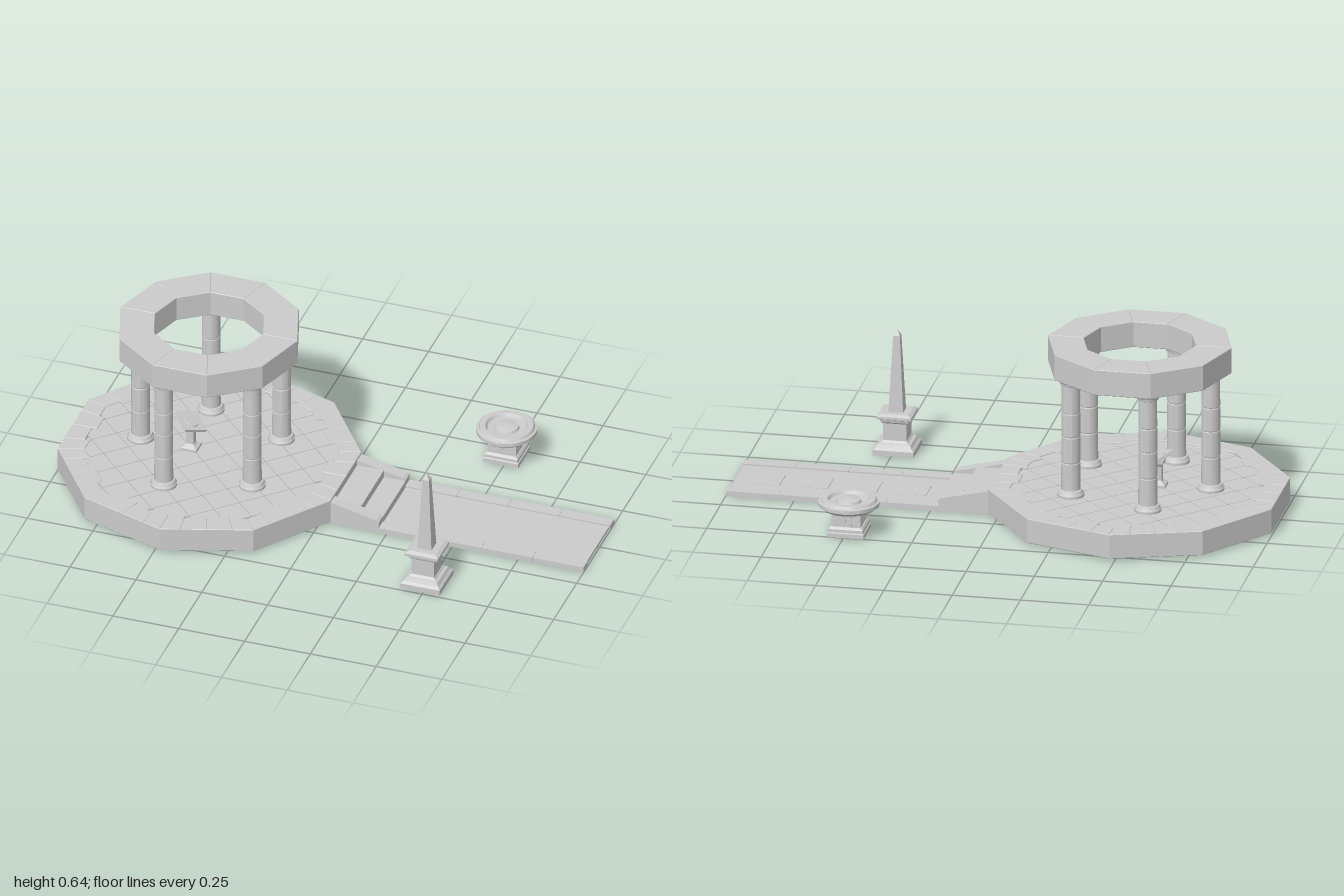
import * as THREE from 'three';
import { toCreasedNormals } from 'three/addons/utils/BufferGeometryUtils.js';

const stone = new THREE.MeshStandardMaterial({ color: 0xcccccc });
const flatStone = new THREE.MeshStandardMaterial({ color: 0xcccccc, flatShading: true });
const CX = -0.48, CZ = 0.006; // centre of the round terrace

function add(parent, name, geometry, material = flatStone) {
  const mesh = new THREE.Mesh(geometry, material);
  mesh.name = name;
  parent.add(mesh);
  return mesh;
}

function group(parent, name, x = 0, y = 0, z = 0) {
  const g = new THREE.Group();
  g.name = name;
  g.position.set(x, y, z);
  parent.add(g);
  return g;
}

// Upright slab from a plan outline of [x, z] points, with optional holes and a small bevel
function slab(points, y0, y1, bevel = 0, holes = []) {
  const outline = (pts) => pts.map(([x, z]) => new THREE.Vector2(x, -z));
  const shape = new THREE.Shape(outline(points));
  holes.forEach((h) => shape.holes.push(new THREE.Path(outline(h))));
  return new THREE.ExtrudeGeometry(shape, {
    depth: y1 - y0 - 2 * bevel, bevelEnabled: bevel > 0, bevelSize: bevel,
    bevelOffset: -bevel, bevelThickness: bevel, bevelSegments: 1,
  }).rotateX(-Math.PI / 2).translate(0, y0 + bevel, 0);
}

function box(x0, x1, y0, y1, z0, z1) {
  return new THREE.BoxGeometry(x1 - x0, y1 - y0, z1 - z0)
    .translate((x0 + x1) / 2, (y0 + y1) / 2, (z0 + z1) / 2);
}

const rect = (x0, x1, z0, z1) => [[x0, z0], [x1, z0], [x1, z1], [x0, z1]];
const toVectors = (pts, k = 1) => pts.map(([r, y]) => new THREE.Vector2(r * k, y));

// Round turned stone, and its square counterpart given half widths
const turned = (pts, sides) => toCreasedNormals(new THREE.LatheGeometry(toVectors(pts), sides), 0.6);
const squareTurned = (pts) =>
  new THREE.LatheGeometry(toVectors(pts, Math.SQRT2), 4, Math.PI / 4).toNonIndexed();

const corner = (i, r, turn) => {
  const a = (i / 10) * Math.PI * 2 + turn;
  return [Math.cos(a) * r, Math.sin(a) * r];
};
const mix = (a, b, t) => [a[0] + (b[0] - a[0]) * t, a[1] + (b[1] - a[1]) * t];

function buildTerrace(root) {
  const g = group(root, 'terrace', CX, 0, CZ);
  const turn = Math.PI / 10;
  const splits = [0, 0.22, 0.5, 0.78, 1];

  // Rim blocks of alternating depth along each of the ten sides
  for (let i = 0; i < 10; i++) {
    const a = corner(i, 0.545, turn), b = corner(i + 1, 0.545, turn);
    for (let k = 0; k < 4; k++) {
      const inner = (i + k) % 2 ? 0.468 : 0.448;
      const c = corner(i, inner, turn), d = corner(i + 1, inner, turn);
      const [s, t] = [splits[k], splits[k + 1]];
      add(g, 'rimBlock', slab([mix(a, b, s), mix(a, b, t), mix(c, d, t), mix(c, d, s)], 0.008, 0.1, 0.002));
    }
  }

  // Floor bed with diagonal paving
  const bed = Array.from({ length: 10 }, (_, i) => corner(i, 0.5, turn));
  add(g, 'floorBed', slab(bed, 0.084, 0.09));
  const step = 0.1;
  for (let i = -5; i <= 5; i++) {
    for (let j = -5; j <= 5; j++) {
      if (Math.hypot(i, j) * step > 0.45) continue;
      const tile = add(g, 'pavingTile', new THREE.BoxGeometry(step - 0.003, 0.015, step - 0.003));
      tile.position.set((i + j) * step * Math.SQRT1_2, 0.0885, (i - j) * step * Math.SQRT1_2);
      tile.rotation.y = Math.PI / 4;
    }
  }
}

function buildColonnade(root) {
  // Column profile: round foot, four drums with worn joints, round capital
  const profile = [[0, 0.095], [0.049, 0.095], [0.049, 0.105], [0.044, 0.112], [0.041, 0.12], [0.035, 0.122]];
  for (const y of [0.225, 0.325, 0.415]) {
    profile.push([0.034, y - 0.004], [0.0315, y], [0.034, y + 0.004]);
  }
  profile.push([0.033, 0.52], [0.039, 0.523], [0.041, 0.532], [0.048, 0.537], [0.048, 0.547], [0, 0.547]);
  const geometry = turned(profile, 18);
  const places = [[-0.742, 0], [-0.564, 0.258], [-0.564, -0.258], [-0.262, 0.16], [-0.262, -0.16]];
  for (const [x, z] of places) add(root, 'column', geometry, stone).position.set(x, 0, CZ + z);

  // Ten-sided ring of lintel blocks
  const ring = group(root, 'lintelRing', CX - 0.002, 0, CZ);
  for (let i = 0; i < 10; i++) {
    const plan = [corner(i, 0.336, 0), corner(i + 1, 0.336, 0), corner(i + 1, 0.205, 0), corner(i, 0.205, 0)];
    add(ring, 'lintelBlock', slab(plan, 0.545, 0.642, 0.002));
  }
}

function buildStand(root) {
  const g = group(root, 'readingStand', -0.55, 0, CZ);
  add(g, 'standPost', squareTurned([[0, 0.095], [0.03, 0.095], [0.03, 0.106], [0.018, 0.114],
    [0.014, 0.12], [0.014, 0.172], [0.022, 0.185], [0.022, 0.198], [0, 0.198]]));
  // Tilted diamond tablet with raised border and a round disc
  const top = group(g, 'tablet', 0, 0.206, 0);
  top.rotation.z = -0.43;
  const diamond = (r) => [[r, 0], [0, r], [-r, 0], [0, -r]];
  add(top, 'tabletPlate', slab(diamond(0.064), -0.006, 0.002));
  add(top, 'tabletBorder', slab(diamond(0.065), 0.001, 0.006, 0, [diamond(0.052)]));
  add(top, 'tabletDisc', new THREE.CylinderGeometry(0.026, 0.028, 0.005, 16)).position.y = 0.004;
}

function buildSteps(root) {
  const g = group(root, 'steps', 0, 0, CZ);
  // Sloping cheek walls on both sides
  const cheek = new THREE.Shape([[0.035, 0.006], [0.22, 0.002], [0.222, 0.045], [0.212, 0.052], [0.035, 0.092]]
    .map(([x, y]) => new THREE.Vector2(x, y)));
  for (const z of [-0.168, 0.122]) {
    add(g, 'cheekWall', new THREE.ExtrudeGeometry(cheek, { depth: 0.046, bevelEnabled: false })).position.z = z;
  }
  add(g, 'upperStep', box(0.035, 0.14, 0.006, 0.072, -0.122, 0.122));
  add(g, 'lowerStep', box(0.14, 0.222, 0.004, 0.043, -0.122, 0.122));
}

function buildPath(root) {
  const g = group(root, 'path', 0, 0, CZ);
  add(g, 'pathBed', box(0.22, 0.995, 0.006, 0.009, -0.125, 0.125));
  // Paving with square sunken panels
  const holes = [0.28, 0.46, 0.64, 0.815].map((x) => rect(x, x + 0.12, -0.062, 0.06));
  add(g, 'pathPaving', slab(rect(0.22, 0.995, -0.122, 0.122), 0.008, 0.016, 0, holes));
  holes.forEach((h) => add(g, 'sunkenPanel',
    slab(rect(h[0][0] + 0.012, h[1][0], -0.05, 0.06), 0.008, 0.0125)));
  for (const z of [-0.168, 0.122]) {
    for (let i = 0; i < 4; i++) {
      const x = 0.22 + i * 0.195;
      add(g, 'pathKerb', box(x, x + 0.194, 0.001, 0.021, z, z + 0.046));
    }
  }
}

function buildObelisk(root) {
  const g = group(root, 'obelisk', 0.49, 0, 0.42);
  add(g, 'obeliskPedestal', squareTurned([[0, 0.006], [0.075, 0.006], [0.075, 0.026], [0.066, 0.034],
    [0.06, 0.045], [0.05, 0.048], [0.043, 0.056], [0.043, 0.12], [0.05, 0.126], [0.052, 0.135],
    [0.063, 0.14], [0.063, 0.15], [0.05, 0.158], [0, 0.158]]));
  add(g, 'obeliskShaft', squareTurned([[0.027, 0.155], [0.0125, 0.445], [0, 0.467]]));
}

function buildFireBowl(root) {
  const g = group(root, 'fireBowl', 0.49, 0, -0.448);
  add(g, 'bowlPlinth', squareTurned([[0, 0.006], [0.067, 0.006], [0.067, 0.022], [0.063, 0.025],
    [0.063, 0.036], [0.056, 0.044], [0, 0.044]]));
  // Three staggered courses of brick around a core
  add(g, 'brickCore', box(-0.051, 0.051, 0.04, 0.092, -0.051, 0.051));
  for (let row = 0; row < 3; row++) {
    const y = 0.044 + row * 0.016;
    const cuts = row % 2 ? [-0.054, 0.002, 0.054] : [-0.054, -0.02, 0.028, 0.054];
    for (let i = 0; i + 1 < cuts.length; i++) {
      for (let j = 0; j + 1 < cuts.length; j++) {
        add(g, 'brick', box(cuts[i] + 0.001, cuts[i + 1] - 0.001, y, y + 0.0145, cuts[j] + 0.001, cuts[j + 1] - 0.001));
      }
    }
  }
  add(g, 'bowl', turned([[0, 0.088], [0.055, 0.088], [0.075, 0.095], [0.095, 0.1], [0.103, 0.108],
    [0.11, 0.112], [0.11, 0.126], [0.102, 0.128], [0.096, 0.137], [0.077, 0.137], [0.07, 0.126],
    [0.046, 0.124], [0.042, 0.133], [0.022, 0.137], [0, 0.139]], 28), stone);
}

export function createModel() {
  const root = new THREE.Group();
  root.name = 'ruinedPavilion';
  buildTerrace(root);
  buildColonnade(root);
  buildStand(root);
  buildSteps(root);
  buildPath(root);
  buildObelisk(root);
  buildFireBowl(root);
  return root;
}
